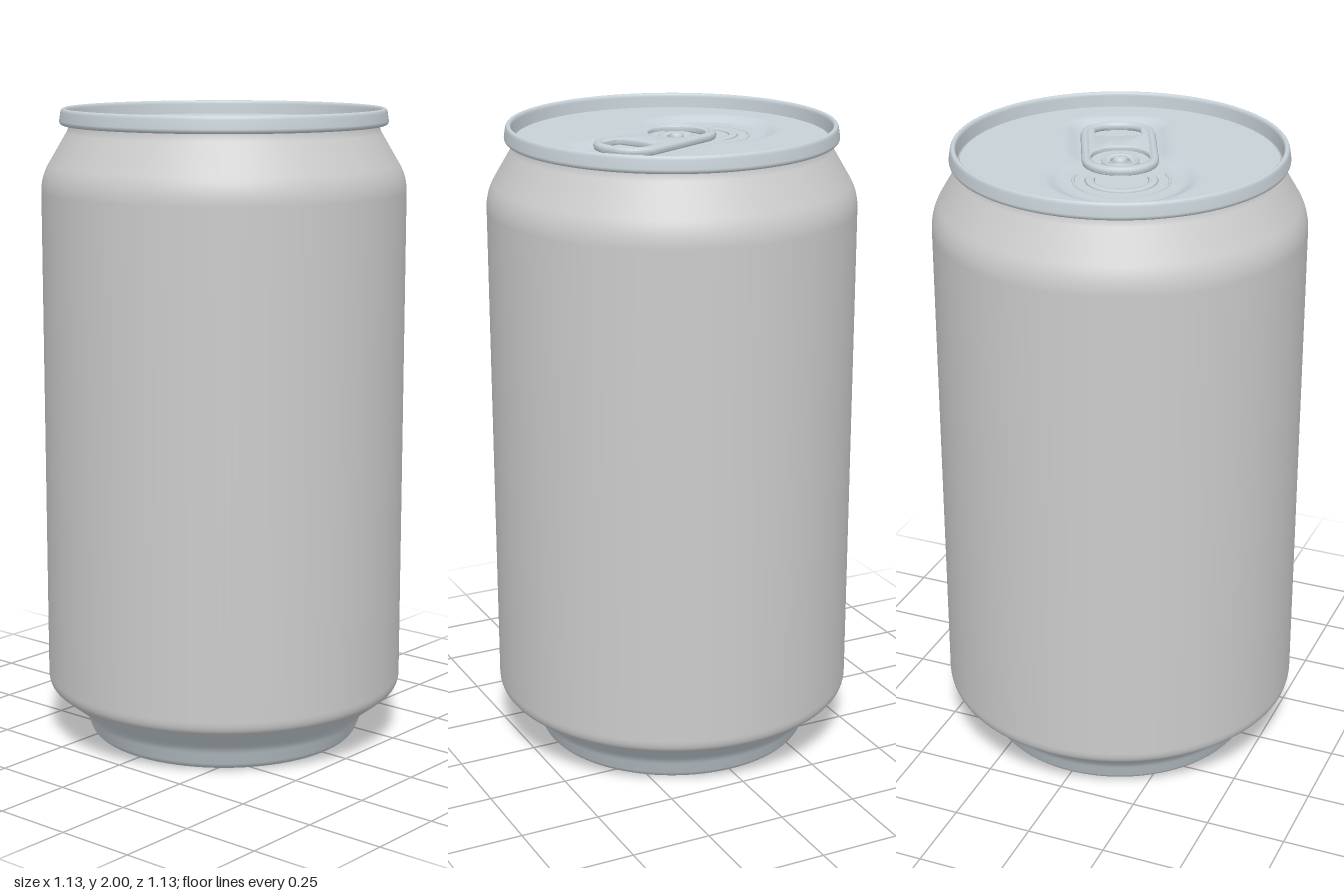
import * as THREE from 'three';
import { mergeVertices, toCreasedNormals } from 'three/addons/utils/BufferGeometryUtils.js';

const ALU = new THREE.MeshStandardMaterial({ color: 0xc6d0d6 });
const GREY = new THREE.MeshStandardMaterial({ color: 0xcccccc });
const FLOOR = 1.938, PANEL = 1.957;   // recess floor and lid panel heights

function add(parent, name, geometry, material = ALU) {
  const mesh = new THREE.Mesh(geometry, material);
  mesh.name = name;
  parent.add(mesh);
  return mesh;
}

const lathe = (points, segments = 96) => new THREE.LatheGeometry(points, segments);
const vec = (list) => list.map(([x, y]) => new THREE.Vector2(x, y));

// Flat-lying arc bead, angles measured from local +x towards -z
function bead(radius, tube, start, sweep, flatten) {
  const g = new THREE.TorusGeometry(radius, tube, 8, 56, sweep);
  g.rotateZ(start).rotateX(-Math.PI / 2).scale(1, flatten, 1);
  return g;
}

// Rounded rectangle with separate left and right corner radii
function roundedOutline(Target, x0, x1, h, rl, rr) {
  const s = new Target();
  s.moveTo(x0 + rl, -h);
  s.lineTo(x1 - rr, -h);
  s.absarc(x1 - rr, -h + rr, rr, -Math.PI / 2, 0, false);
  s.absarc(x1 - rr, h - rr, rr, 0, Math.PI / 2, false);
  s.absarc(x0 + rl, h - rl, rl, Math.PI / 2, Math.PI, false);
  s.absarc(x0 + rl, -h + rl, rl, Math.PI, Math.PI * 1.5, false);
  return s;
}

function plate(shape, depth, bevel) {
  const g = new THREE.ExtrudeGeometry(shape, {
    depth, bevelEnabled: bevel > 0, bevelThickness: bevel, bevelSize: bevel,
    bevelOffset: -bevel, bevelSegments: 3, curveSegments: 20,
  });
  return toCreasedNormals(g.rotateX(-Math.PI / 2), 0.7);
}

// Lid panel with a keyhole-shaped recess pressed into it
function panelGeometry(angle) {
  let g = new THREE.RingGeometry(0.0005, 0.476, 144, 72);
  g.rotateX(-Math.PI / 2);
  g.deleteAttribute('uv');
  g.deleteAttribute('normal');
  g = mergeVertices(g, 1e-5);
  const p = g.attributes.position, c = Math.cos(angle), s = Math.sin(angle);
  for (let i = 0; i < p.count; i++) {
    const x = p.getX(i), z = p.getZ(i);
    const u = x * c - z * s, v = x * s + z * c;
    const round = Math.hypot(u + 0.165, v) - 0.225;
    const qx = Math.abs(u - 0.11) - 0.17, qy = Math.abs(v) - 0.06;
    const box = Math.hypot(Math.max(qx, 0), Math.max(qy, 0)) + Math.min(Math.max(qx, qy), 0) - 0.1;
    // blend the two outlines softly at the waist
    const k = 0.05, h = Math.max(k - Math.abs(round - box), 0) / k;
    const d = Math.min(round, box) - h * h * k / 4;
    p.setY(i, THREE.MathUtils.lerp(FLOOR, PANEL, THREE.MathUtils.smoothstep(d, -0.05, 0.005)));
  }
  g.computeVertexNormals();
  return g;
}

function createTab() {
  const tab = new THREE.Group();
  tab.name = 'pullTab';
  const px = -0.022;                     // rivet position along the tab

  // Tab plate with rivet hole and finger window
  const shape = roundedOutline(THREE.Shape, -0.142, 0.292, 0.113, 0.108, 0.1);
  const rivetHole = new THREE.Path();
  rivetHole.absarc(px, 0, 0.088, 0, Math.PI * 2, true);
  const finger = new THREE.Path();
  finger.moveTo(0.168, -0.062);
  finger.quadraticCurveTo(0.155, 0, 0.168, 0.062);
  finger.quadraticCurveTo(0.17, 0.068, 0.18, 0.07);
  finger.lineTo(0.25, 0.072);
  finger.quadraticCurveTo(0.258, 0.072, 0.26, 0.064);
  finger.quadraticCurveTo(0.276, 0, 0.26, -0.064);
  finger.quadraticCurveTo(0.258, -0.072, 0.25, -0.072);
  finger.lineTo(0.18, -0.07);
  finger.quadraticCurveTo(0.17, -0.068, 0.168, -0.062);
  shape.holes.push(rivetHole, finger);
  add(tab, 'tabPlate', plate(shape, 0.012, 0.004)).position.y = FLOOR + 0.014;

  // Curled outer edge
  const edge = roundedOutline(THREE.Path, -0.13, 0.28, 0.101, 0.096, 0.088).getSpacedPoints(80);
  edge.pop();
  const path = new THREE.CatmullRomCurve3(edge.map((q) => new THREE.Vector3(q.x, 0, -q.y)), true);
  add(tab, 'curledEdge', new THREE.TubeGeometry(path, 120, 0.014, 8, true)).position.y = FLOOR + 0.021;

  // Tongue holding the rivet, open towards the mouth
  const a = THREE.MathUtils.degToRad(112);
  const tongue = new THREE.Shape();
  tongue.absarc(0, 0, 0.09, -a, a, false);
  tongue.absarc(0, 0, 0.03, a, -a, true);
  tongue.closePath();
  add(tab, 'rivetTongue', plate(tongue, 0.008, 0)).position.set(px, FLOOR + 0.008, 0);

  // Dished seat with central rivet
  add(tab, 'rivet', lathe(vec([
    [0.058, 0], [0.057, 0.016], [0.053, 0.021], [0.047, 0.019], [0.03, 0.008], [0.023, 0.007],
    [0.022, 0.016], [0.02, 0.024], [0.014, 0.027], [0, 0.028],
  ]), 40)).position.set(px, FLOOR, 0);
  return tab;
}

export function createModel() {
  const can = new THREE.Group();
  can.name = 'drinkCan';

  // Painted wall: rounded heel, straight side, sloping neck
  const wall = new THREE.Path();
  wall.moveTo(0.55, 0.158);
  wall.quadraticCurveTo(0.567, 0.17, 0.567, 0.2);
  wall.lineTo(0.567, 1.745);
  wall.quadraticCurveTo(0.567, 1.79, 0.545, 1.828);
  wall.lineTo(0.488, 1.925);
  wall.quadraticCurveTo(0.48, 1.94, 0.48, 1.958);
  add(can, 'canWall', lathe(wall.getPoints(10), 128), GREY);

  // Bare base: inward dome, standing ring and flared foot
  const base = new THREE.Path();
  base.moveTo(0, 0.12);
  base.quadraticCurveTo(0.22, 0.118, 0.35, 0.045);
  base.quadraticCurveTo(0.375, 0.003, 0.398, 0);
  base.quadraticCurveTo(0.422, 0, 0.432, 0.022);
  base.lineTo(0.446, 0.058);
  base.quadraticCurveTo(0.456, 0.085, 0.482, 0.104);
  base.lineTo(0.55, 0.158);
  add(can, 'canBase', lathe(base.getPoints(10), 128));

  // Rolled lid rim with inner wall and countersink
  const rim = new THREE.Path();
  rim.moveTo(0.478, 1.95);
  rim.lineTo(0.498, 1.948);
  rim.quadraticCurveTo(0.509, 1.95, 0.509, 1.962);
  rim.lineTo(0.505, 1.988);
  rim.quadraticCurveTo(0.503, 2, 0.496, 2);
  rim.quadraticCurveTo(0.488, 2, 0.487, 1.988);
  rim.lineTo(0.485, 1.955);
  rim.quadraticCurveTo(0.483, 1.945, 0.479, 1.948);
  rim.lineTo(0.475, PANEL);
  add(can, 'lidRim', lathe(rim.getPoints(6), 128));

  // Lid panel and everything turned with the tab
  const angle = THREE.MathUtils.degToRad(24);
  add(can, 'lidPanel', panelGeometry(angle));
  const fittings = new THREE.Group();
  fittings.name = 'lidFittings';
  fittings.rotation.y = angle;
  can.add(fittings);
  fittings.add(createTab());

  // Score line and stiffening bead of the mouth
  const mouth = new THREE.Group();
  mouth.name = 'mouth';
  mouth.position.set(-0.15, FLOOR, 0);
  fittings.add(mouth);
  const deg = Math.PI / 180;
  add(mouth, 'scoreLine', bead(0.142, 0.004, 68 * deg, 224 * deg, 0.6));
  add(mouth, 'mouthBead', bead(0.093, 0.015, 75 * deg, 210 * deg, 0.4));
  return can;
}
